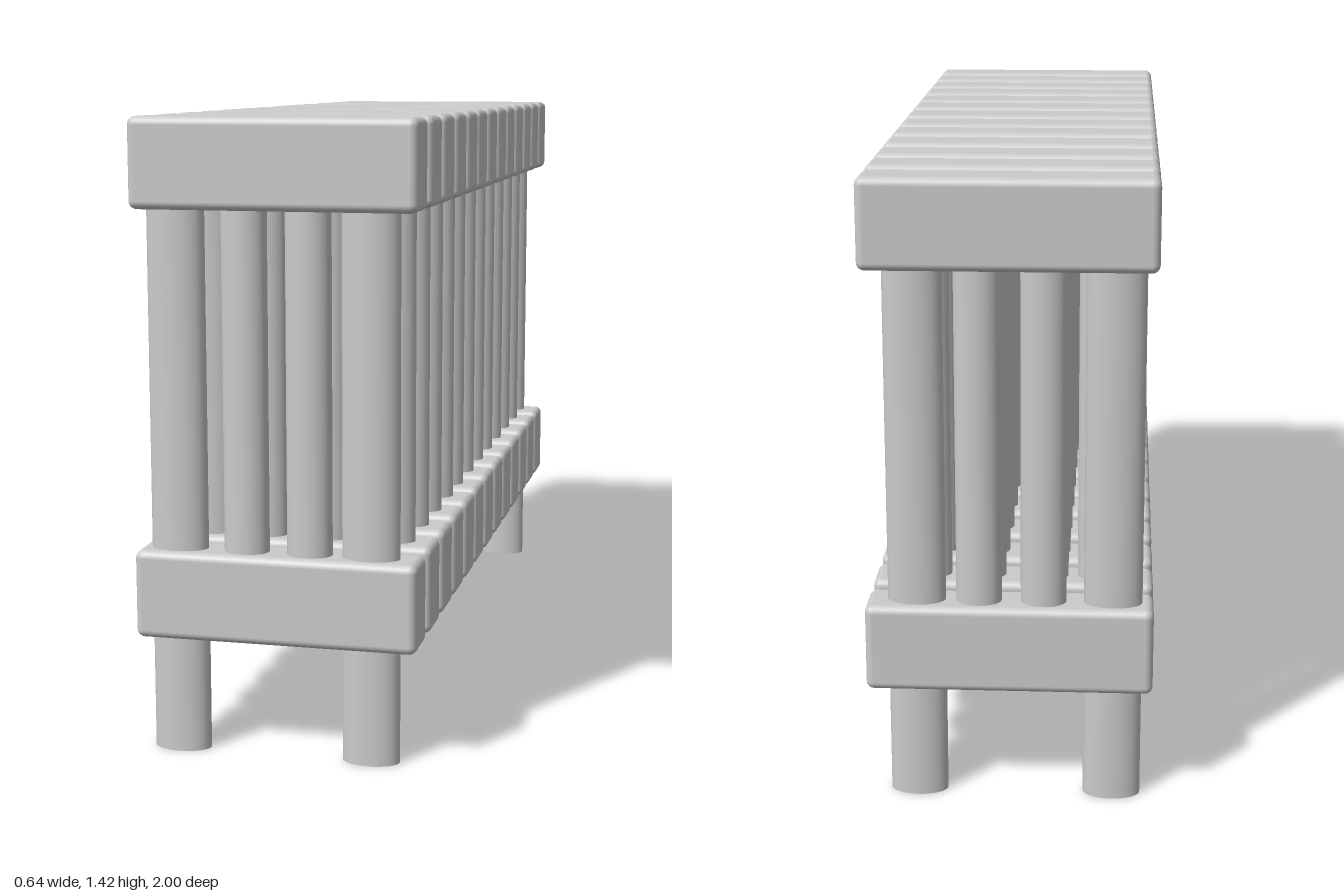
import * as THREE from 'three';
import { RoundedBoxGeometry } from 'three/addons/geometries/RoundedBoxGeometry.js';

export function createModel() {
  const model = new THREE.Group();
  model.name = 'columnRadiator';
  const material = new THREE.MeshStandardMaterial({ color: 0xcccccc });

  const headerGeo = new RoundedBoxGeometry(0.64, 0.2, 0.12, 3, 0.018);
  const tubeGeo = new THREE.CylinderGeometry(1, 1, 1, 32);
  const nippleGeo = new THREE.SphereGeometry(1, 32, 16);

  function add(parent, name, geometry, x, y, z) {
    const mesh = new THREE.Mesh(geometry, material);
    mesh.name = name;
    mesh.position.set(x, y, z);
    parent.add(mesh);
    return mesh;
  }

  // Upright oval tube between two heights
  function tube(parent, name, x, y0, y1, rx) {
    add(parent, name, tubeGeo, x, (y0 + y1) / 2, 0).scale.set(rx, y1 - y0, 0.039);
  }

  // Section centres, front to back
  const centres = [0.94, 0.776, 0.618, 0.463, 0.307, 0.16, 0.003,
    -0.154, -0.306, -0.466, -0.627, -0.783, -0.94];

  centres.forEach((z, i) => {
    const isEnd = i === 0 || i === centres.length - 1;
    const section = new THREE.Group();
    section.name = isEnd ? 'endSection' : 'section';
    section.position.z = z;
    model.add(section);

    // Headers
    add(section, 'topHeader', headerGeo, 0, 1.322, 0);
    add(section, 'bottomHeader', headerGeo, 0, 0.365, 0);

    // Outer tubes run down to the floor as legs on the end sections
    for (const x of [isEnd ? -0.23 : -0.212, 0.208]) {
      tube(section, 'outerTube', x, 0.42, 1.27, 0.065);
      if (isEnd) tube(section, 'leg', x, 0, 0.31, 0.065);
    }
    for (const x of [-0.075, 0.069]) tube(section, 'innerTube', x, 0.42, 1.27, 0.051);

    // Rounded connector to the next section
    if (i < centres.length - 1) {
      const mid = (z + centres[i + 1]) / 2;
      add(model, 'connector', nippleGeo, 0.004, 1.328, mid).scale.set(0.094, 0.06, 0.026);
    }
  });

  return model;
}
